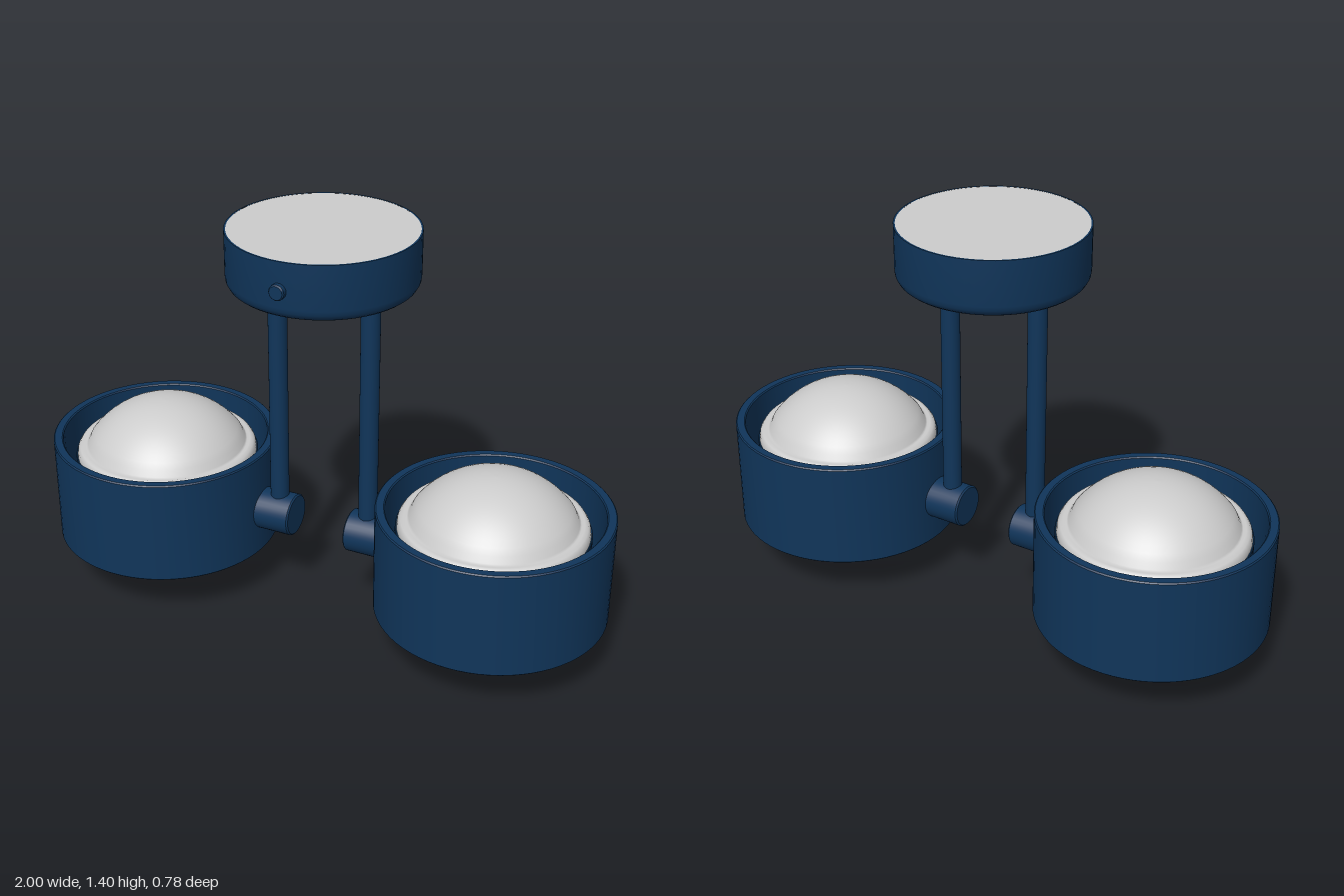
import * as THREE from 'three';
import { toCreasedNormals } from 'three/addons/utils/BufferGeometryUtils.js';

const navy = new THREE.MeshStandardMaterial({ color: 0x10355a });
navy.name = 'navy metal';
const glass = new THREE.MeshStandardMaterial({ color: 0xcccccc });
glass.name = 'pale grey';

function add(parent, name, geometry, material, x = 0, y = 0, z = 0) {
  const mesh = new THREE.Mesh(geometry, material);
  mesh.name = name;
  mesh.position.set(x, y, z);
  parent.add(mesh);
  return mesh;
}

// Turned part from [radius, height] pairs, listed from the bottom up the outside
function turned(profile, segments = 64) {
  const points = profile.map(([r, y]) => new THREE.Vector2(r, y));
  return toCreasedNormals(new THREE.LatheGeometry(points, segments), 0.5);
}

// Rectangular-section band with softened outer edges
function band(inner, outer, y0, y1, b) {
  return turned([
    [inner, y0 + b], [inner + b, y0], [outer - b, y0], [outer, y0 + b],
    [outer, y1 - b], [outer - b, y1], [inner + b, y1], [inner, y1 - b], [inner, y0 + b],
  ], 72);
}

// Deep bowl below, a rolled lip, then a shallower dome on top
function globeGeometry() {
  const profile = [];
  const R = 0.332;
  for (let i = 0; i <= 14; i++) {
    const a = (i / 14) * 1.13;
    profile.push([R * Math.sin(a), R - R * Math.cos(a)]);
  }
  profile.push([0.31, 0.24], [0.313, 0.3], [0.313, 0.47], [0.31, 0.49],
    [0.302, 0.502], [0.29, 0.506], [0.28, 0.503], [0.274, 0.508]);
  for (let i = 0; i <= 12; i++) {
    const a = (1 - i / 12) * 0.92;
    profile.push([R * Math.sin(a), 0.66 - R + R * Math.cos(a)]);
  }
  const points = profile.map(([r, y]) => new THREE.Vector2(r, y));
  return new THREE.LatheGeometry(points, 64);
}

function createLamp(side) {
  const lamp = new THREE.Group();
  lamp.name = side > 0 ? 'leftLamp' : 'rightLamp';
  const cx = 0.612 * side;

  // Shade and globe
  add(lamp, 'shadeRing', band(0.355, 0.388, 0.17, 0.54, 0.004), navy, cx);
  add(lamp, 'globe', globeGeometry(), glass, 0.608 * side);
  add(lamp, 'globeHolder', band(0.308, 0.318, 0.27, 0.47, 0.002), navy, 0.608 * side);

  // Pivot joint between the rod and the shade
  const knob = add(lamp, 'pivotKnob', turned([
    [0, -0.07], [0.068, -0.07], [0.073, -0.065], [0.073, 0.06], [0.068, 0.065], [0, 0.065],
  ], 32), navy, 0.168 * side, 0.328);
  knob.rotation.z = Math.PI / 2 * side;
  const arm = add(lamp, 'holderArm', new THREE.CylinderGeometry(0.03, 0.03, 0.08, 20), navy,
    0.265 * side, 0.328);
  arm.rotation.z = Math.PI / 2;

  // Hanging rod with its stepped collar
  add(lamp, 'rod', new THREE.CylinderGeometry(0.032, 0.032, 0.87, 28), navy, 0.165 * side, 0.775);
  add(lamp, 'rodCollar', turned([
    [0.03, 1.172], [0.042, 1.172], [0.044, 1.176], [0.044, 1.192], [0.053, 1.197], [0.053, 1.215],
  ], 28), navy, 0.165 * side);
  return lamp;
}

export function createModel() {
  const model = new THREE.Group();
  model.name = 'twinCeilingLamp';

  // Ceiling canopy with rounded lower edge and pale top plate
  add(model, 'canopy', turned([
    [0, 1.212], [0.28, 1.212], [0.291, 1.215], [0.301, 1.223], [0.308, 1.236], [0.31, 1.25],
    [0.31, 1.4], [0.304, 1.4],
  ]), navy);
  const plate = add(model, 'topPlate', new THREE.CircleGeometry(0.305, 64), glass, 0, 1.399);
  plate.rotation.x = -Math.PI / 2;

  // Side screw and bottom finial
  const screw = add(model, 'sideScrew', turned([
    [0, -0.02], [0.026, -0.02], [0.026, 0.012], [0.022, 0.017], [0, 0.017],
  ], 24), navy, 0, 1.305, 0.312);
  screw.rotation.x = Math.PI / 2;
  add(model, 'finial', new THREE.SphereGeometry(0.048, 28, 18), glass, 0, 1.219);

  // Mirrored lamps
  for (const side of [-1, 1]) model.add(createLamp(side));
  return model;
}
